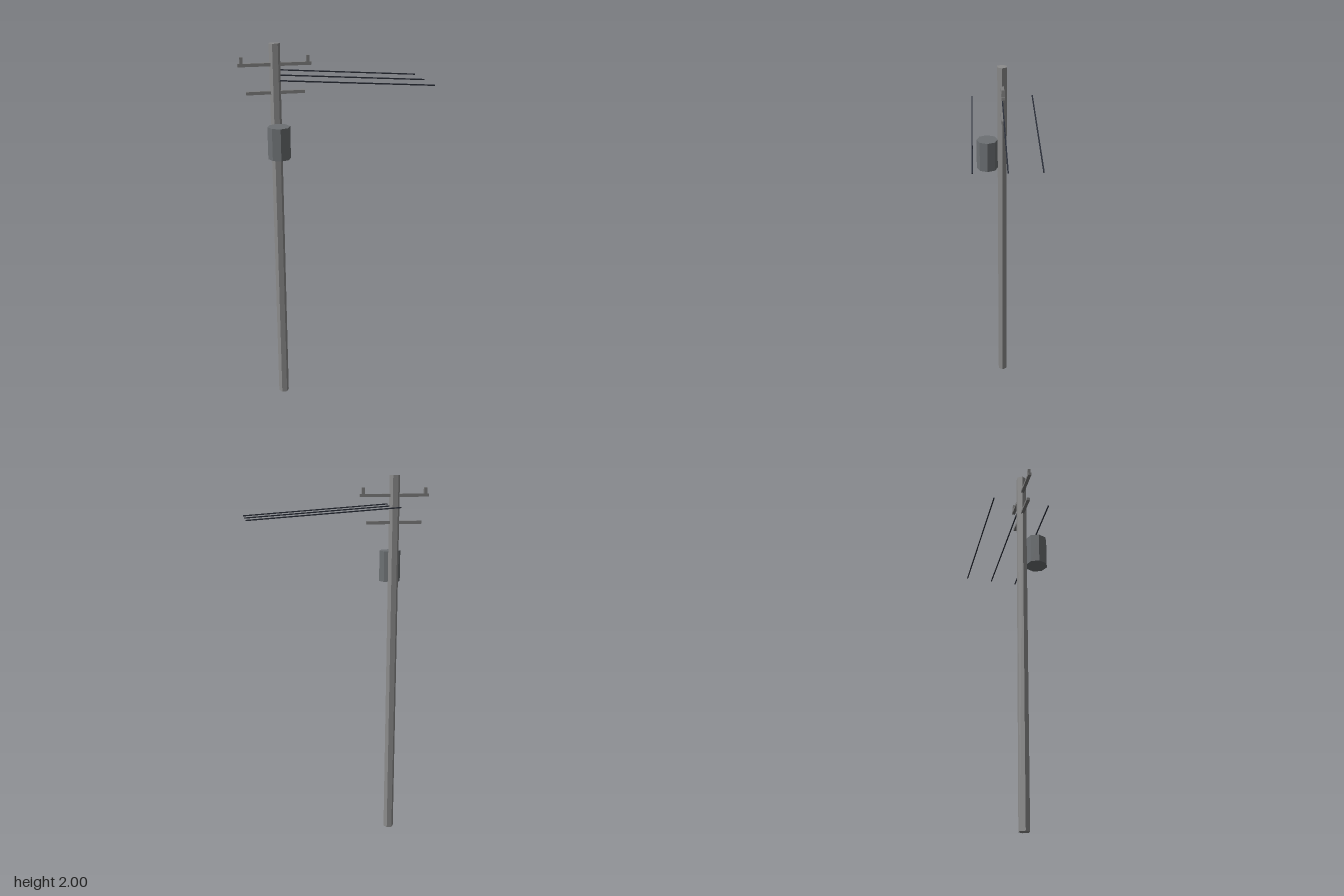
import * as THREE from 'three';

const mat = (color) => new THREE.MeshStandardMaterial({ color, flatShading: true });

export function createModel() {
  const group = new THREE.Group();
  const poleMat = mat(0x8c8c8c);
  const armMat = mat(0x7c7c7c);
  const tankMat = mat(0x6c7073);
  const wireMat = mat(0x2a2e38);
  const poleX = -0.3;

  const add = (name, geometry, material, x, y, z) => {
    const mesh = new THREE.Mesh(geometry, material);
    mesh.name = name;
    mesh.position.set(x, y, z);
    group.add(mesh);
    return mesh;
  };

  // Hexagonal pole, corners pointing along x
  const poleGeo = new THREE.CylinderGeometry(0.028, 0.028, 2, 6).rotateY(Math.PI / 2);
  add('pole', poleGeo, poleMat, poleX, 1, 0);

  // Two crossarms, the upper one longer
  add('upperCrossarm', new THREE.BoxGeometry(0.37, 0.016, 0.017), armMat, poleX, 1.897, 0);
  add('lowerCrossarm', new THREE.BoxGeometry(0.297, 0.016, 0.017), armMat, poleX, 1.757, 0);

  // Insulator pegs near the ends of the upper crossarm
  for (const side of [-1, 1]) {
    add(side > 0 ? 'leftInsulator' : 'rightInsulator',
      new THREE.BoxGeometry(0.016, 0.034, 0.015), armMat, poleX + side * 0.167, 1.92, 0);
  }

  // Eight-sided transformer tank on the front of the pole
  add('transformer', new THREE.CylinderGeometry(0.058, 0.058, 0.165, 8), tankMat, poleX, 1.518, 0.081);

  // Three parallel wires sloping down to the left
  const start = new THREE.Vector3(-0.3, 1.844, 0);
  const end = new THREE.Vector3(0.485, 1.789, 0);
  const span = end.clone().sub(start);
  const middle = start.clone().add(end).multiplyScalar(0.5);
  const wireGeo = new THREE.BoxGeometry(span.length(), 0.006, 0.006);
  wireGeo.rotateZ(Math.atan2(span.y, span.x));
  [['backWire', -0.157], ['middleWire', 0], ['frontWire', 0.157]].forEach(([name, z]) => {
    add(name, wireGeo, wireMat, middle.x, middle.y, z);
  });

  return group;
}
